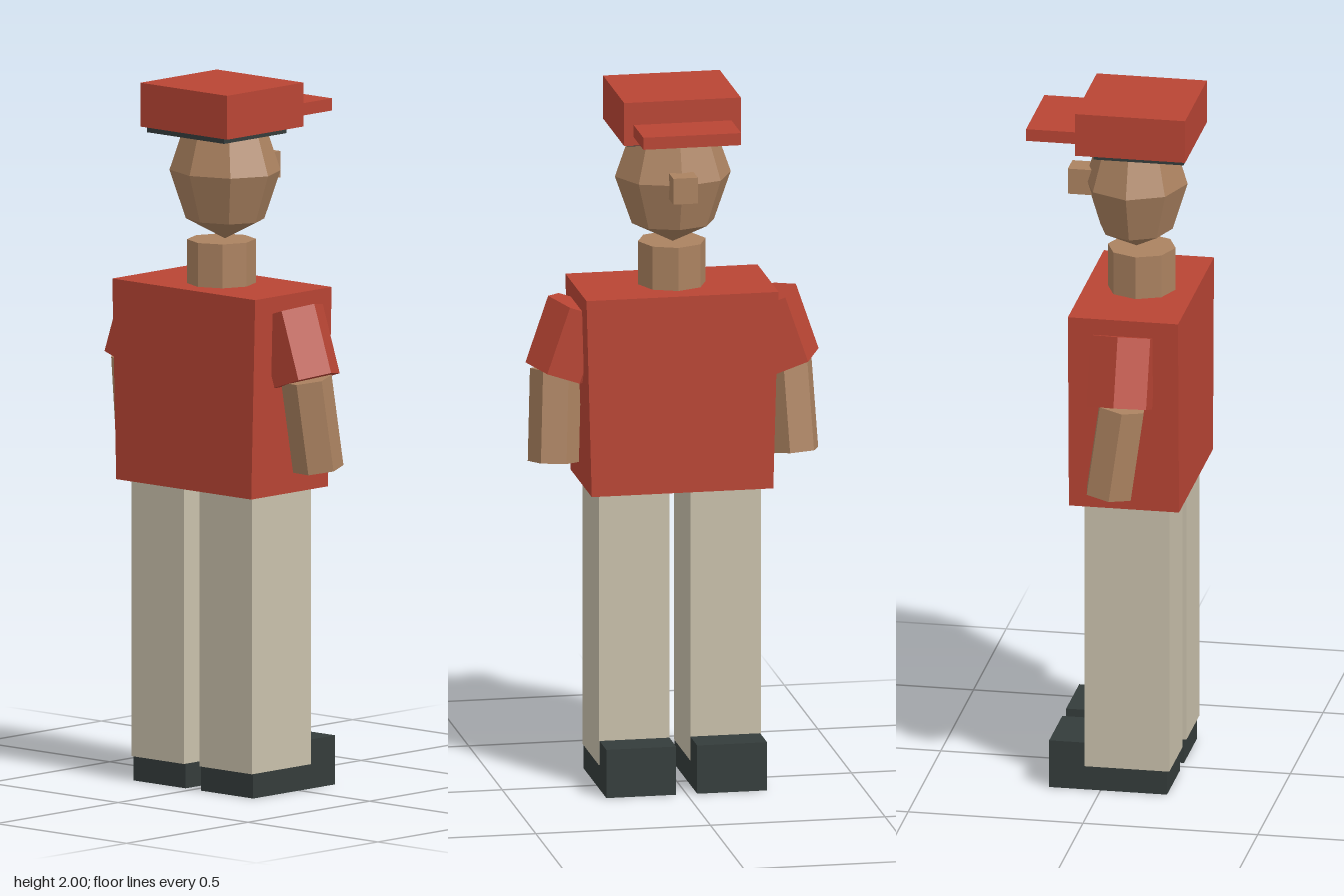
import * as THREE from 'three';

const makeMaterial = (name, color) => {
  const m = new THREE.MeshStandardMaterial({ color });
  m.name = name;
  return m;
};

// Faceted normals for low-poly shapes
const faceted = (geo) => {
  const g = geo.index ? geo.toNonIndexed() : geo;
  g.computeVertexNormals();
  return g;
};

export function createModel() {
  const model = new THREE.Group();
  model.name = 'cappedFigure';
  const red = makeMaterial('red cloth', 0xb94534);
  const beige = makeMaterial('beige trousers', 0xc9c0ab);
  const skin = makeMaterial('skin', 0xab8260);
  const dark = makeMaterial('dark leather and hair', 0x343c3b);

  const add = (name, geo, mat) => {
    const mesh = new THREE.Mesh(geo, mat);
    mesh.name = name;
    model.add(mesh);
    return mesh;
  };

  // Box given by its extents on each axis
  const box = (name, mat, [x0, x1], [y0, y1], [z0, z1]) => {
    const mesh = add(name, new THREE.BoxGeometry(x1 - x0, y1 - y0, z1 - z0), mat);
    mesh.position.set((x0 + x1) / 2, (y0 + y1) / 2, (z0 + z1) / 2);
    return mesh;
  };

  // Prism running between two points, a corner turned towards the side
  const prism = (name, mat, radius, sides, from, to, twist = 0) => {
    const a = new THREE.Vector3(...from), b = new THREE.Vector3(...to);
    const dir = b.clone().sub(a);
    const geo = new THREE.CylinderGeometry(radius, radius, dir.length(), sides);
    geo.rotateY(Math.PI / 2 + twist);
    const mesh = add(name, faceted(geo), mat);
    mesh.position.copy(a).add(b).multiplyScalar(0.5);
    mesh.quaternion.setFromUnitVectors(new THREE.Vector3(0, 1, 0), dir.normalize());
    return mesh;
  };

  // Shirt body, slightly narrower at the hem
  const shirt = box('shirt', red, [-0.275, 0.275], [0.86, 1.43], [-0.085, 0.23]);
  const p = shirt.geometry.attributes.position;
  for (let i = 0; i < p.count; i++) if (p.getY(i) < 0) p.setX(i, p.getX(i) * 0.945);
  shirt.geometry = faceted(shirt.geometry);

  // Neck, head and nose; the face looks towards -z
  prism('neck', skin, 0.097, 8, [0, 1.42, 0.075], [0, 1.555, 0.075]);
  const headGeo = new THREE.SphereGeometry(1, 8, 4).scale(0.166, 0.195, 0.146);
  add('head', faceted(headGeo), skin).position.set(0, 1.75, 0.06);
  box('nose', skin, [-0.035, 0.035], [1.71, 1.785], [-0.13, -0.06]);

  // Hair and cap
  box('hair', dark, [-0.148, 0.148], [1.86, 1.89], [-0.035, 0.222]);
  box('cap', red, [-0.167, 0.167], [1.875, 2], [-0.085, 0.23]);
  box('capBrim', red, [-0.14, 0.14], [1.9, 1.935], [-0.23, -0.08]);

  // Mirrored limbs
  for (const s of [-1, 1]) {
    const side = s > 0 ? 'left' : 'right';
    const xs = (a, b) => (s > 0 ? [a, b] : [-b, -a]);
    prism(side + 'Sleeve', red, 0.098, 6, [s * 0.327, 1.188, 0.072], [s * 0.262, 1.378, 0.072]);
    prism(side + 'Forearm', skin, 0.072, 6, [s * 0.345, 0.935, 0.045], [s * 0.332, 1.195, 0.08], -s * 0.175);
    box(side + 'Leg', beige, xs(0.03, 0.232), [0.07, 0.87], [-0.045, 0.197]);
    box(side + 'Sole', dark, xs(0.03, 0.23), [0, 0.07], [-0.045, 0.19]);
    box(side + 'Toe', dark, xs(0.03, 0.23), [0, 0.14], [-0.147, -0.045]);
  }
  return model;
}
